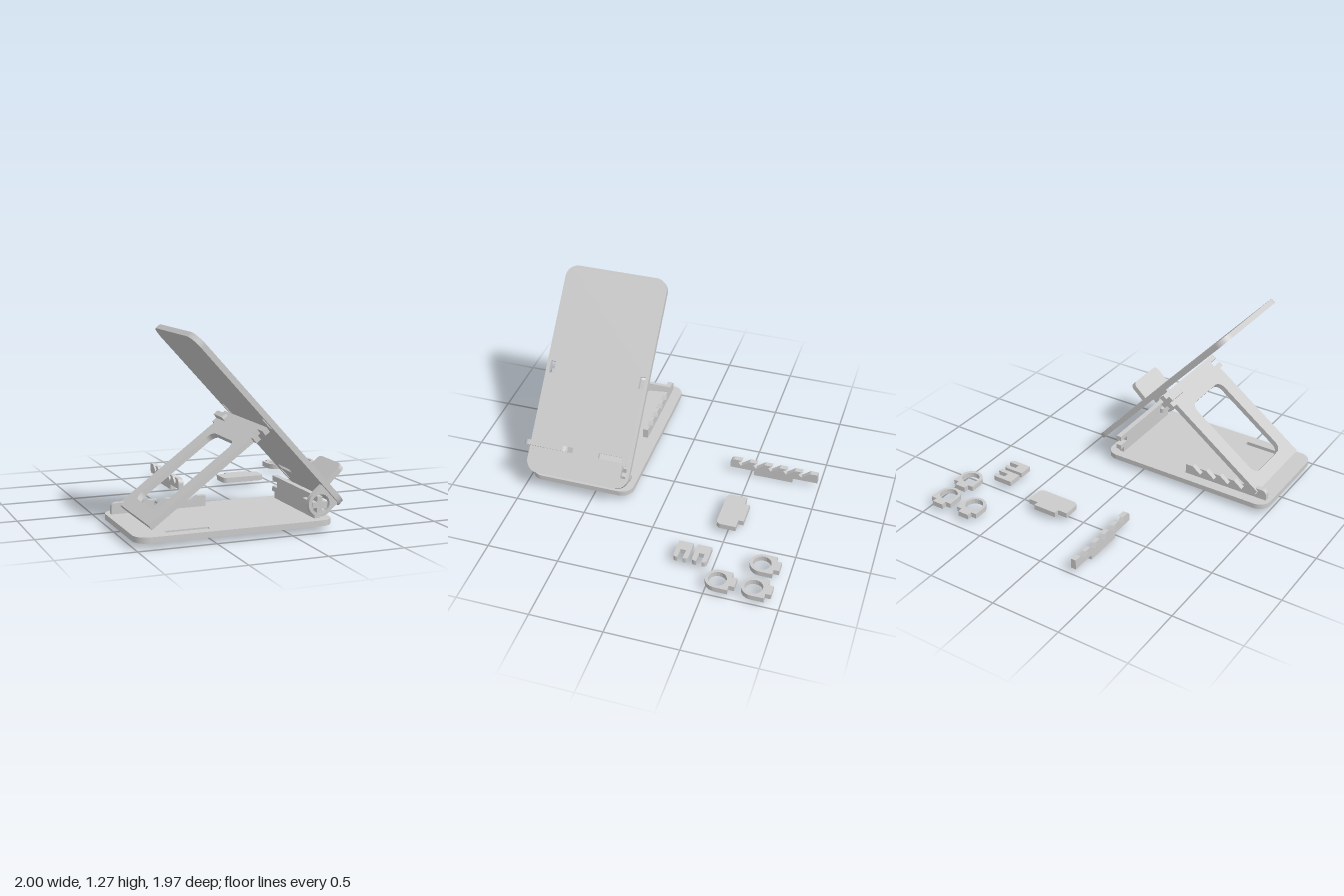
import * as THREE from 'three';

const T = 0.037;          // sheet thickness
const MID = 0.605;        // z of the stand's centre plane
const FLOOR = 0.037;      // underside of parts lying flat
const V = (x, y, z) => new THREE.Vector3(x, y, z);
const RIGHT = V(1, 0, 0), UP = V(0, 1, 0), FRONT = V(0, 0, 1), BACK = V(0, 0, -1);

// Lean directions of the back panel and the support frame
const panelFoot = V(0.367, 0.155, MID), panelDir = V(-0.671, 0.741, 0).normalize();
const panelOut = V(panelDir.y, -panelDir.x, 0);
const frameFoot = V(-0.893, 0.115, MID), frameDir = V(0.803, 0.596, 0).normalize();
const frameUp = V(-frameDir.y, frameDir.x, 0);

const material = new THREE.MeshStandardMaterial({ color: 0xcccccc });

const poly = (pts) => new THREE.Shape(pts.map(([x, y]) => new THREE.Vector2(x, y)));

// Rectangle with separate corner radii for the lower and upper edge
function rect(x0, y0, x1, y1, rLow = 0, rHigh = rLow, S = THREE.Shape) {
  const s = new S();
  s.moveTo(x0 + rLow, y0).lineTo(x1 - rLow, y0);
  if (rLow) s.absarc(x1 - rLow, y0 + rLow, rLow, -Math.PI / 2, 0);
  s.lineTo(x1, y1 - rHigh);
  if (rHigh) s.absarc(x1 - rHigh, y1 - rHigh, rHigh, 0, Math.PI / 2);
  s.lineTo(x0 + rHigh, y1);
  if (rHigh) s.absarc(x0 + rHigh, y1 - rHigh, rHigh, Math.PI / 2, Math.PI);
  s.lineTo(x0, y0 + rLow);
  if (rLow) s.absarc(x0 + rLow, y0 + rLow, rLow, Math.PI, Math.PI * 1.5);
  return s;
}
const hole = (cx, cy, w, h, r = 0) =>
  rect(cx - w / 2, cy - h / 2, cx + w / 2, cy + h / 2, r, r, THREE.Path);

// Sheet cut from a shape, centred on its thickness, lying along axes X and Y
function sheet(group, name, shape, X, Y, pos) {
  const geo = new THREE.ExtrudeGeometry(shape, { depth: T, bevelEnabled: false, curveSegments: 10 });
  geo.translate(0, 0, -T / 2);
  const Z = new THREE.Vector3().crossVectors(X, Y);
  geo.applyMatrix4(new THREE.Matrix4().makeBasis(X, Y, Z).setPosition(pos));
  const mesh = new THREE.Mesh(geo, material);
  mesh.name = name;
  group.add(mesh);
}

// Cross plate with a notched hinge tab at both ends; bottom lists the right half of its lower edge
function hingePlate(bottom, tabLow, tabHigh) {
  const c = (tabLow + tabHigh) / 2, h = T / 2;
  const half = [...bottom, [0.31, tabLow], [0.35, tabLow], [0.35, c - h], [0.27, c - h],
    [0.27, c + h], [0.35, c + h], [0.35, tabHigh]];
  return poly([...half, ...half.map(([x, y]) => [-x, y]).reverse()]);
}

// Toothed rack: a rounded end, five slanted pockets and a tab below
function rackShape() {
  const H = 0.072, L = 0.637, s = new THREE.Shape();
  s.moveTo(0, 0).lineTo(0.178, 0).lineTo(0.178, -T).lineTo(0.458, -T).lineTo(0.458, 0);
  s.lineTo(L, 0).lineTo(L, H);
  for (let i = 4; i >= 0; i--) {
    const u = 0.142 + i * 0.11;
    s.lineTo(u, H).lineTo(u - 0.062, H - 0.048).lineTo(u - 0.084, H - 0.021).lineTo(u - 0.055, H);
  }
  s.lineTo(0.035, H).absarc(0.035, H - 0.035, 0.035, Math.PI / 2, Math.PI);
  return s;
}

// Hinge ring with a square shoulder and a tab
function ringShape() {
  const r = 0.082;
  const s = poly([[r, 0], [r, 0.085], [0.041, 0.085], [0.041, 0.122],
    [-0.041, 0.122], [-0.041, 0.085], [-r, 0.085], [-r, 0]]);
  s.absarc(0, 0, r, Math.PI, Math.PI * 2);
  s.holes.push(new THREE.Path().absarc(0, 0, 0.061, 0, Math.PI * 2));
  return s;
}

// Fork-shaped locking clip, open towards +x
function clipShape() {
  const L = 0.155, w = 0.051, h = T / 2, r = 0.022;
  const s = poly([[0, -w], [L - r, -w]]);
  s.absarc(L - r, -w + r, r, -Math.PI / 2, 0);
  s.lineTo(L, -h).lineTo(0.078, -h).lineTo(0.078, h).lineTo(L, h).lineTo(L, w - r);
  s.absarc(L - r, w - r, r, 0, Math.PI / 2);
  s.lineTo(0, w);
  return s;
}

// Ledge with a mounting tab below y = 0
function ledgeShape() {
  const w = 0.157, r = 0.035, s = poly([[-w, 0], [-0.086, 0], [-0.086, -T], [0.086, -T], [0.086, 0], [w, 0]]);
  s.lineTo(w, 0.14 - r).absarc(w - r, 0.14 - r, r, 0, Math.PI / 2);
  s.lineTo(-w + r, 0.14).absarc(-w + r, 0.14 - r, r, Math.PI / 2, Math.PI);
  return s;
}

export function createModel() {
  const model = new THREE.Group();
  model.name = 'adjustableStand';
  const flatY = FLOOR + T / 2, topY = FLOOR + T;

  // Base with slots for two racks and the hinge plate
  const base = rect(-1, -0.375, 0.3, 0.375, 0.09);
  for (const side of [-1, 1]) {
    base.holes.push(hole(-0.65, side * 0.28, 0.28, T));
    base.holes.push(hole(0.204, side * 0.19, T, 0.17));
  }
  sheet(model, 'base', base, RIGHT, BACK, V(0, flatY, MID));

  // Leaning back panel with ring slots and ledge slots
  const panel = rect(-0.375, 0, 0.375, 1.49, 0.09);
  for (const side of [-1, 1]) {
    for (const s of [0.12, 0.75]) panel.holes.push(hole(side * 0.332, s, T, 0.085));
    panel.holes.push(hole(side * 0.216, 0.2, 0.172, T));
  }
  sheet(model, 'backPanel', panel, FRONT, panelDir, panelFoot);

  // Support frame
  const frame = hingePlate([[0.31, 0]], 0.817, 0.927);
  frame.holes.push(hole(0, 0.42, 0.39, 0.65, 0.06));
  sheet(model, 'supportFrame', frame, FRONT, frameDir, frameFoot);

  // Upright hinge plate with two feet through the base
  const hinge = hingePlate([[0.105, topY], [0.105, FLOOR], [0.275, FLOOR], [0.275, topY], [0.31, topY]], 0.115, 0.222);
  sheet(model, 'hingePlate', hinge, FRONT, UP, V(0.204, 0, MID));

  // Fitted rack, ring, ledge and locking clips
  sheet(model, 'rack', rackShape(), RIGHT, UP, V(-0.967, topY, MID - 0.28));
  const ringPos = panelFoot.clone().addScaledVector(panelDir, 0.12).addScaledVector(panelOut, -0.1035);
  sheet(model, 'hingeRing', ringShape(), panelDir, panelOut, ringPos.setZ(MID + 0.332));
  const ledgePos = panelFoot.clone().addScaledVector(panelDir, 0.2).addScaledVector(panelOut, T / 2);
  sheet(model, 'ledge', ledgeShape(), FRONT, panelOut, ledgePos.setZ(MID + 0.216));
  sheet(model, 'hingeClip', clipShape(), BACK, RIGHT, V(0.204, 0.1685, MID + 0.35));
  const clipPos = frameFoot.clone().addScaledVector(frameDir, 0.872);
  sheet(model, 'frameClip', clipShape(), FRONT, frameUp, clipPos.setZ(MID - 0.35));

  // Spare parts lying beside the stand
  sheet(model, 'spareRack', rackShape(), BACK, UP, V(-0.255, FLOOR, -0.348));
  sheet(model, 'spareLedge', ledgeShape(), RIGHT, FRONT, V(0.254, flatY, -0.56));
  for (const [x, z] of [[0.69, -0.815], [0.914, -0.815], [0.914, -0.574]])
    sheet(model, 'spareRing', ringShape(), RIGHT, BACK, V(x, flatY, z));
  for (const z of [-0.414, -0.286])
    sheet(model, 'spareClip', clipShape(), RIGHT, BACK, V(0.645, flatY, z));

  return model;
}
